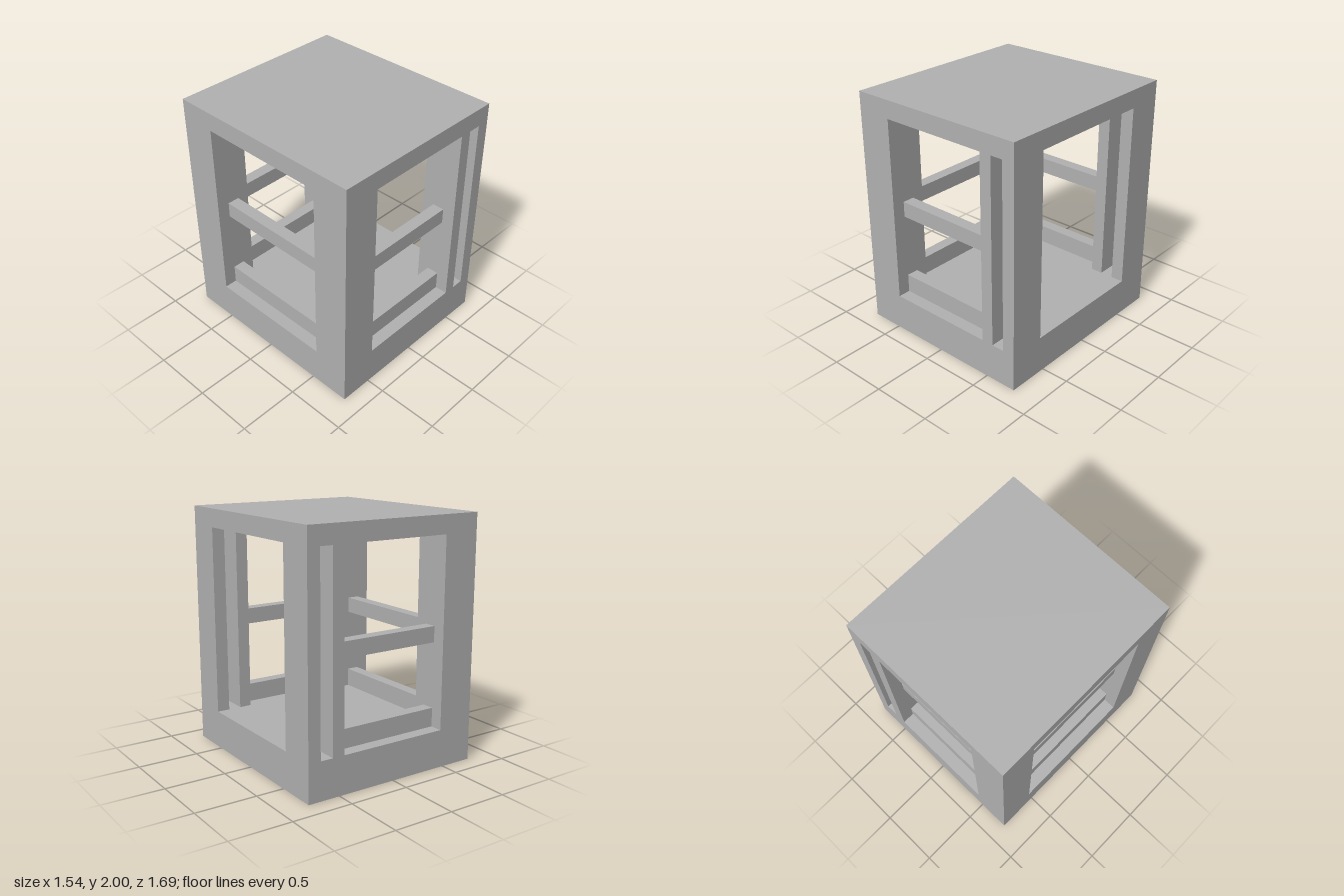
import * as THREE from 'three';

export function createModel() {
  const group = new THREE.Group();
  const grey = new THREE.MeshStandardMaterial({ color: 0xb2b2b2 });
  grey.name = 'plain grey';

  const W = 0.77, D = 0.845;              // half width and half depth
  const FLOOR = 0.31, CEILING = 1.85;     // opening heights
  const IN_L = -0.465, IN_R = 0.46, IN_Z = 0.54; // inner edges of the posts

  // Box given by its extents along each axis
  function block(name, x0, x1, y0, y1, z0, z1) {
    const mesh = new THREE.Mesh(new THREE.BoxGeometry(x1 - x0, y1 - y0, z1 - z0), grey);
    mesh.position.set((x0 + x1) / 2, (y0 + y1) / 2, (z0 + z1) / 2);
    mesh.name = name;
    group.add(mesh);
  }

  // Solid base and roof slab
  block('base', -W, W, 0, FLOOR, -D, D);
  block('roof', -W, W, CEILING, 2, -D, D);

  // Rail heights: low kerb and middle bar
  const rails = [['lowerRail', FLOOR, 0.465], ['middleRail', 1.0, 1.13]];

  for (const [end, s] of [['front', 1], ['back', -1]]) {
    const z = (a, b) => (s > 0 ? [a, b] : [-b, -a]);
    // Wide corner post, then a slim post and an edge post with a slot between
    block(end + 'CornerPost', -W, IN_L, FLOOR, CEILING, ...z(IN_Z, D));
    block(end + 'SlimPost', IN_R, 0.56, FLOOR, CEILING, ...z(IN_Z, D));
    block(end + 'EdgePost', 0.665, W, FLOOR, CEILING, ...z(IN_Z, D));
    // Rails across the opening
    for (const [name, y0, y1] of rails) {
      block(end + '_' + name, IN_L, IN_R, y0, y1, ...z(0.64, 0.74));
    }
  }

  // Rails on the closed side; the opposite side is the open doorway
  for (const [name, y0, y1] of rails) {
    block('side_' + name, -0.665, -0.565, y0, y1, -IN_Z, IN_Z);
  }

  return group;
}
